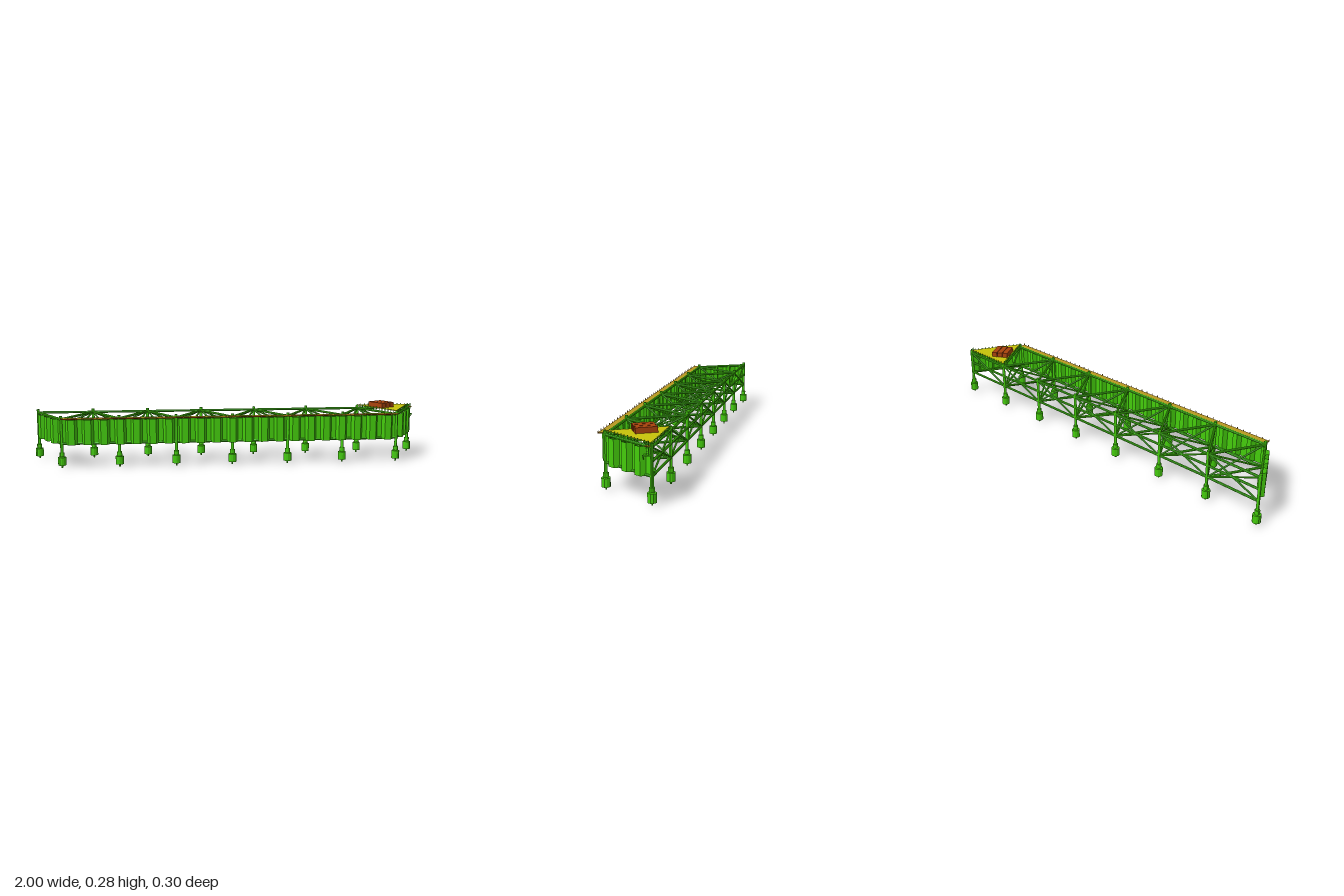
import * as THREE from 'three';

const paint = (color) => new THREE.MeshStandardMaterial({ color, flatShading: true, side: THREE.DoubleSide });
const GREEN = paint(0x44cc0c), YELLOW = paint(0xc8c40a), TAN = paint(0xb89a20), ORANGE = paint(0xaa440c);
const V = (x, y, z) => new THREE.Vector3(x, y, z);
const TOP = 0.24, MID = 0.18, LOW = 0.12;

export function createModel() {
  const root = new THREE.Group();

  function add(parent, name, geometry, material, x = 0, y = 0, z = 0) {
    const mesh = new THREE.Mesh(geometry, material);
    mesh.name = name;
    mesh.position.set(x, y, z);
    parent.add(mesh);
    return mesh;
  }

  function group(name) {
    const g = new THREE.Group();
    g.name = name;
    root.add(g);
    return g;
  }

  // Round bar between two points
  function bar(parent, name, a, b, r = 0.005, material = GREEN) {
    const d = b.clone().sub(a);
    const mesh = add(parent, name, new THREE.CylinderGeometry(r, r, d.length(), 8), material);
    mesh.position.copy(a).addScaledVector(d, 0.5);
    mesh.quaternion.setFromUnitVectors(V(0, 1, 0), d.normalize());
  }

  // Plan positions of the two rows of posts
  const front = [], back = [];
  for (let i = 0; i < 7; i++) front.push([-0.84 + i * 0.28, 0.12]);
  for (let i = 0; i < 8; i++) back.push([-0.98 + i * 0.28, i === 0 ? -0.132 : -0.125]);

  // Posts with collar, foot and ground pin
  for (const [x, z] of [...front, ...back]) {
    const post = group('post');
    post.position.set(x, 0, z);
    const section = (name, r, y0, y1) =>
      add(post, name, new THREE.CylinderGeometry(r, r, y1 - y0, 12), GREEN, 0, (y0 + y1) / 2, 0);
    section('postShaft', 0.0075, 0.07, 0.256);
    section('postCollar', 0.0125, 0.055, 0.075);
    section('postFoot', 0.02, 0.013, 0.053);
    section('groundPin', 0.004, 0, 0.014);
  }

  // Braced frame between two posts
  function frame(name, [ax, az], [bx, bz], { levels = [TOP, LOW], cross = true, r = 0.006 } = {}) {
    const g = group(name);
    for (const y of levels) bar(g, 'rail', V(ax, y, az), V(bx, y, bz), r);
    if (!cross) return;
    bar(g, 'diagonalBrace', V(ax, LOW, az), V(bx, TOP, bz), 0.0045);
    bar(g, 'diagonalBrace', V(ax, TOP, az), V(bx, LOW, bz), 0.0045);
  }
  for (let i = 0; i < 7; i++) {
    frame('backFrame', back[i], back[i + 1], { levels: [TOP, MID, LOW] });
    const atEnd = { cross: false };
    frame('crossFrame', back[i], front[i], i === 0 ? atEnd : {});
    frame('crossFrame', front[i], back[i + 1], i === 6 ? atEnd : {});
    if (i < 6) frame('frontFrame', front[i], front[i + 1], { cross: false, r: 0.007 });
  }

  // Corrugated wall: each rib is a trapezoid standing out from the plan line
  function wall(name, [ax, az], [bx, bz]) {
    const length = Math.hypot(bx - ax, bz - az), pitch = 0.079, depth = 0.022;
    const ribs = Math.floor(length / pitch);
    const outline = [[-length / 2, 0]];
    for (let i = 0; i < ribs; i++) {
      const c = (i - (ribs - 1) / 2) * pitch;
      outline.push([c - 0.028, 0], [c - 0.016, depth], [c + 0.016, depth], [c + 0.028, 0]);
    }
    outline.push([length / 2, 0]);
    const geo = new THREE.PlaneGeometry(length, 0.123, outline.length - 1, 1);
    const pos = geo.attributes.position;
    for (let i = 0; i < pos.count; i++) {
      const [x, z] = outline[i % outline.length];
      pos.setX(i, x);
      pos.setZ(i, z);
    }
    geo.computeVertexNormals();
    const mesh = add(root, name, geo, GREEN, (ax + bx) / 2, 0.1765, (az + bz) / 2);
    mesh.rotation.y = Math.atan2(az - bz, bx - ax);
  }
  wall('frontWall', [-0.84, 0.123], [0.84, 0.123]);
  wall('leftEndWall', front[6], back[7]);
  wall('rightEndWall', back[0], front[0]);

  // Narrow walkway along the front with small edge pegs
  const walkway = group('walkway');
  add(walkway, 'walkwayBoard', new THREE.BoxGeometry(1.68, 0.004, 0.026), TAN, 0, 0.244, 0.135);
  add(walkway, 'walkwayEdge', new THREE.BoxGeometry(1.68, 0.003, 0.005), ORANGE, 0, 0.2435, 0.1495);
  for (let i = 0; i <= 48; i++) {
    add(walkway, 'edgePeg', new THREE.BoxGeometry(0.003, 0.009, 0.002), TAN, -0.838 + i * 0.0349, 0.248, 0.151);
  }

  // Triangular deck over the last bay
  const deck = group('deck');
  const corners = [back[6], back[7], front[6]];
  const shape = new THREE.Shape(corners.map(([x, z]) => new THREE.Vector2(x, z)));
  const plate = new THREE.ExtrudeGeometry(shape, { depth: 0.002, bevelEnabled: false }).rotateX(Math.PI / 2);
  add(deck, 'deckPlate', plate, YELLOW, 0, 0.257, 0);
  corners.forEach(([ax, az], k) => {
    const [bx, bz] = corners[(k + 1) % 3];
    for (let i = 0; i < 14; i++) {
      const t = i / 14;
      add(deck, 'deckPeg', new THREE.BoxGeometry(0.003, 0.016, 0.003), GREEN,
        ax + (bx - ax) * t, 0.254, az + (bz - az) * t);
    }
  });

  // Three crates side by side on the deck
  const crates = group('crates');
  crates.position.set(0.805, 0.2705, -0.041);
  crates.rotation.y = Math.PI / 6;
  for (const i of [-1, 0, 1]) {
    add(crates, 'crate', new THREE.BoxGeometry(0.027, 0.025, 0.096), ORANGE, i * 0.0305, 0, 0);
  }

  // Little landing and ladder outside the end corner
  const landing = group('landing');
  add(landing, 'landingBoard', new THREE.BoxGeometry(0.02, 0.004, 0.032), GREEN, 0.985, 0.207, -0.108);
  for (const z of [-0.104, -0.114]) bar(landing, 'ladderRail', V(0.986, 0.205, z), V(0.986, 0.265, z), 0.0015);
  for (let i = 0; i < 5; i++) {
    bar(landing, 'ladderRung', V(0.986, 0.214 + i * 0.01, -0.104), V(0.986, 0.214 + i * 0.01, -0.114), 0.001);
  }
  bar(landing, 'landingStrut', V(0.99, 0.207, -0.09), V(0.976, 0.187, -0.09), 0.0015);
  add(landing, 'topStep', new THREE.BoxGeometry(0.018, 0.003, 0.024), TAN, 0.985, 0.245, -0.11);

  return root;
}
